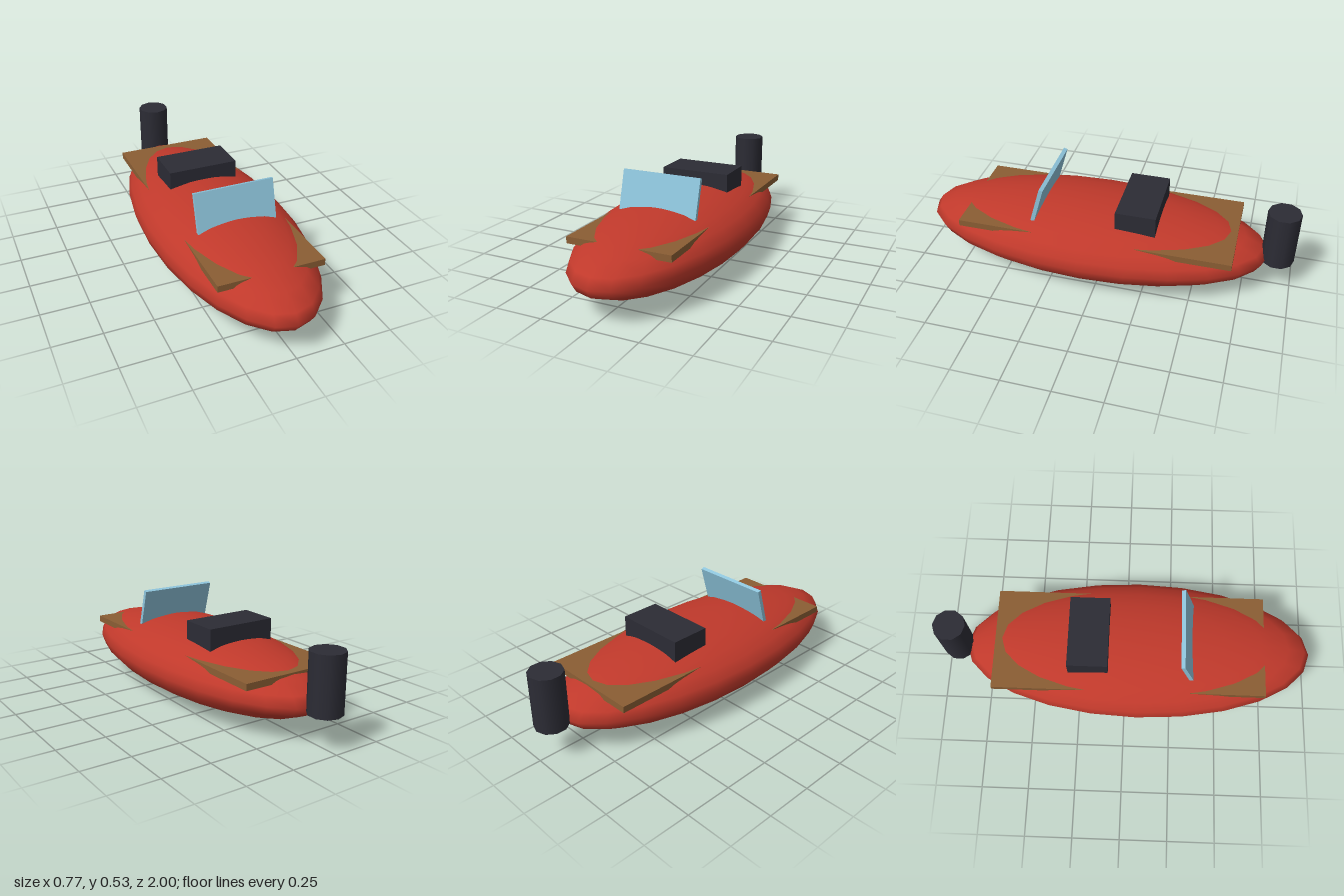
import * as THREE from 'three';

const mat = (name, color) => {
  const m = new THREE.MeshStandardMaterial({ color });
  m.name = name;
  return m;
};

export function createModel() {
  const boat = new THREE.Group();
  boat.name = 'motorBoat';

  const red = mat('hullRed', 0xc0392b);
  const wood = mat('deckWood', 0x8b5e34);
  const dark = mat('darkGrey', 0x2c2c35);
  const glass = mat('glassBlue', 0x8ec5dc);

  const add = (name, geometry, material, x, y, z) => {
    const mesh = new THREE.Mesh(geometry, material);
    mesh.name = name;
    mesh.position.set(x, y, z);
    boat.add(mesh);
    return mesh;
  };

  // Hull: a stretched, flattened sphere
  const hullGeometry = new THREE.SphereGeometry(1, 24, 12).scale(0.383, 0.186, 0.935);
  add('hull', hullGeometry, red, 0, 0.19, 0.065);

  // Deck planks whose corners stand out of the hull
  add('frontDeck', new THREE.BoxGeometry(0.55, 0.034, 0.46), wood, 0, 0.287, 0.51);
  add('rearDeck', new THREE.BoxGeometry(0.55, 0.034, 0.52), wood, 0, 0.287, -0.44);

  // Bench seat
  add('seat', new THREE.BoxGeometry(0.38, 0.145, 0.21), dark, 0, 0.373, -0.193);

  // Windshield, leaning back
  const windshield = add('windshield', new THREE.BoxGeometry(0.424, 0.23, 0.021), glass, 0, 0.418, 0.325);
  windshield.rotation.x = -0.28;

  // Outboard motor at the stern
  add('outboardMotor', new THREE.CylinderGeometry(0.085, 0.085, 0.295, 10), dark, 0, 0.322, -0.915);

  return boat;
}
